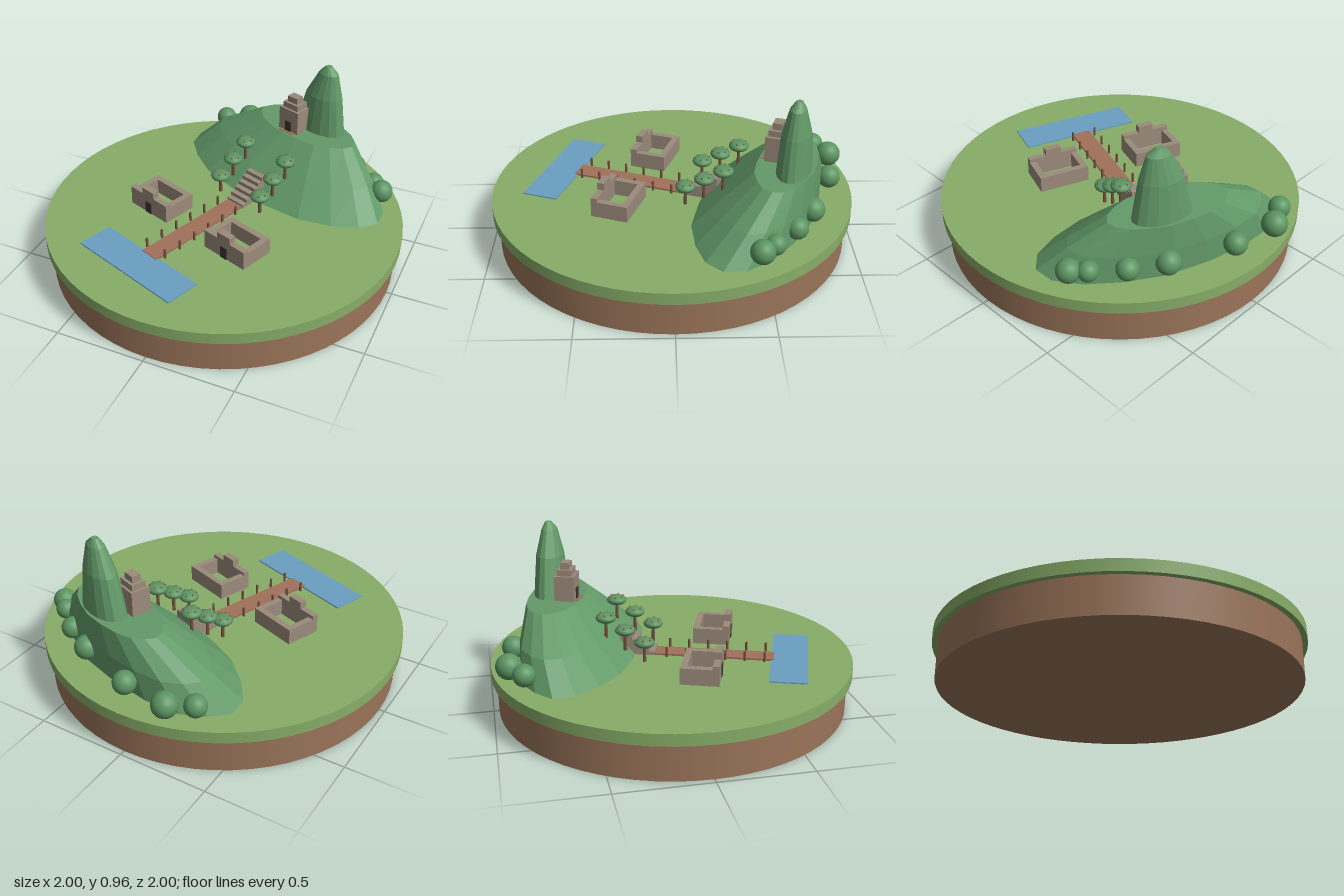
import * as THREE from 'three';

const mat = (name, color, flatShading = false) => {
  const m = new THREE.MeshStandardMaterial({ color, flatShading });
  m.name = name;
  return m;
};

// Stack of elliptical rings [y, centreX, centreZ, radiusX, radiusZ], closed on top
function loft(rings, sides, wobble = 0) {
  const point = ([y, cx, cz, rx, rz], i) => {
    const k = i % sides, a = (k / sides) * Math.PI * 2;
    const r = 1 + wobble * Math.sin(k * 2.3 + 0.8);
    return [cx + rx * r * Math.cos(a), y, cz + rz * r * Math.sin(a)];
  };
  const pos = [];
  for (let i = 0; i < sides; i++) {
    for (let j = 0; j < rings.length - 1; j++) {
      const a = point(rings[j], i), b = point(rings[j + 1], i);
      const c = point(rings[j], i + 1), d = point(rings[j + 1], i + 1);
      pos.push(...a, ...b, ...c, ...c, ...b, ...d);
    }
    const top = rings[rings.length - 1];
    pos.push(top[1], top[0], top[2], ...point(top, i + 1), ...point(top, i));
  }
  const g = new THREE.BufferGeometry();
  g.setAttribute('position', new THREE.Float32BufferAttribute(pos, 3));
  g.computeVertexNormals();
  return g;
}

export function createModel() {
  const model = new THREE.Group();
  const soil = mat('soil', 0x9a7459);
  const grass = mat('grass', 0x87ad68);
  const hillGreen = mat('hillGreen', 0x639a69, true);
  const leaf = mat('leaf', 0x5c9562);
  const stone = mat('stone', 0x9b8b7b);
  const dark = mat('doorway', 0x3a3433);
  const clay = mat('clayPath', 0xa0705a);
  const wood = mat('wood', 0x75523f);
  const water = mat('water', 0x6a9fc2);
  const fruitRed = mat('fruit', 0x9a4a42);

  const add = (parent, name, geo, material, x = 0, y = 0, z = 0) => {
    const m = new THREE.Mesh(geo, material);
    m.name = name;
    m.position.set(x, y, z);
    parent.add(m);
    return m;
  };
  // Box placed by the height of its underside
  const box = (parent, name, material, w, h, d, x, y, z) =>
    add(parent, name, new THREE.BoxGeometry(w, h, d), material, x, y + h / 2, z);

  const G = 0.265; // ground level

  // Round base
  add(model, 'soilBase', new THREE.CylinderGeometry(0.97, 0.97, 0.2, 64), soil, 0, 0.1, 0);
  add(model, 'grassDisc', new THREE.CylinderGeometry(1, 1, G - 0.2, 64), grass, 0, (G + 0.2) / 2, 0);

  // Everything on the disc shares one turned axis
  const site = new THREE.Group();
  site.name = 'site';
  site.rotation.y = -0.35;
  model.add(site);

  // Hill and peak
  add(site, 'hill', loft([
    [G - 0.01, 0, -0.5, 0.7, 0.32],
    [0.41, 0, -0.58, 0.55, 0.24],
    [0.56, 0.04, -0.655, 0.33, 0.155],
  ], 18, 0.015), hillGreen);
  add(site, 'peak', loft([
    [0.54, 0.1, -0.705, 0.168, 0.092],
    [0.78, 0.115, -0.708, 0.117, 0.075],
    [0.92, 0.135, -0.712, 0.062, 0.042],
    [0.96, 0.13, -0.715, 0.02, 0.018],
  ], 16), hillGreen);

  // Water, path and stairs
  box(site, 'pool', water, 0.69, 0.007, 0.2, 0, G, 0.655);
  box(site, 'path', clay, 0.11, 0.01, 0.67, 0, G, 0.235);
  const steps = 6;
  for (let i = 0; i < steps; i++) {
    box(site, 'stairStep', stone, 0.12, 0.13 * (i + 1) / steps, 0.033, 0, G, -0.105 - i * 0.032);
  }

  // Posts along both sides of the path
  const postGeo = new THREE.CylinderGeometry(0.007, 0.007, 0.055, 8);
  for (const s of [-1, 1]) {
    for (let i = 0; i < 6; i++) {
      add(site, 'pathPost', postGeo, wood, s * 0.07, G + 0.0275, -0.02 + i * 0.108);
    }
  }

  // Two roofless houses
  for (const s of [-1, 1]) {
    const house = new THREE.Group();
    house.name = 'house';
    house.position.set(s * 0.293, G, 0.203);
    site.add(house);
    box(house, 'frontWall', stone, 0.285, 0.11, 0.035, 0, 0, 0.085);
    box(house, 'backWall', stone, 0.285, 0.09, 0.035, 0, 0, -0.085);
    for (const t of [-1, 1]) box(house, 'sideWall', stone, 0.035, 0.09, 0.14, t * 0.125, 0, 0);
    box(house, 'parapet', stone, 0.09, 0.04, 0.04, 0, 0.11, 0.085);
    box(house, 'door', dark, 0.045, 0.07, 0.006, 0, 0, 0.104);
  }

  // Stepped temple
  const temple = new THREE.Group();
  temple.name = 'temple';
  temple.position.set(0, 0, -0.59);
  site.add(temple);
  box(temple, 'templeBody', stone, 0.137, 0.2, 0.11, 0, 0.5, 0);
  box(temple, 'middleTier', stone, 0.105, 0.034, 0.082, 0, 0.7, 0);
  box(temple, 'topTier', stone, 0.068, 0.036, 0.05, 0, 0.734, 0);
  box(temple, 'templeDoor', dark, 0.042, 0.065, 0.006, 0, 0.56, 0.057);
  box(temple, 'threshold', clay, 0.1, 0.006, 0.03, 0, 0.557, 0.06);

  // Fruit trees climbing both sides of the stairs
  const crownGeo = new THREE.SphereGeometry(0.056, 16, 10).scale(1, 0.52, 1);
  const trunkGeo = new THREE.CylinderGeometry(0.008, 0.01, 0.11, 8);
  const fruitGeo = new THREE.SphereGeometry(0.006, 8, 6);
  for (const s of [-1, 1]) {
    [[0.375, -0.13], [0.441, -0.235], [0.508, -0.34]].forEach(([y, z]) => {
      const tree = new THREE.Group();
      tree.name = 'fruitTree';
      tree.position.set(s * 0.153, y, z);
      site.add(tree);
      add(tree, 'trunk', trunkGeo, wood, 0, -0.06, 0);
      add(tree, 'crown', crownGeo, leaf);
      for (let i = 0; i < 6; i++) {
        const a = i * Math.PI / 3;
        add(tree, 'fruit', fruitGeo, fruitRed, 0.038 * Math.cos(a), 0.02, 0.038 * Math.sin(a));
      }
    });
  }

  // Round bushes behind the hill
  [[-0.353, -0.84, 0.06], [-0.22, -0.91, 0.07], [0.048, -0.87, 0.063], [0.395, -0.73, 0.066],
    [0.573, -0.625, 0.06], [0.72, -0.5, 0.055], [0.785, -0.43, 0.064]].forEach(([x, z, r]) => {
    add(model, 'bush', new THREE.SphereGeometry(r, 20, 14), leaf, x, 0.35, z);
  });

  return model;
}
